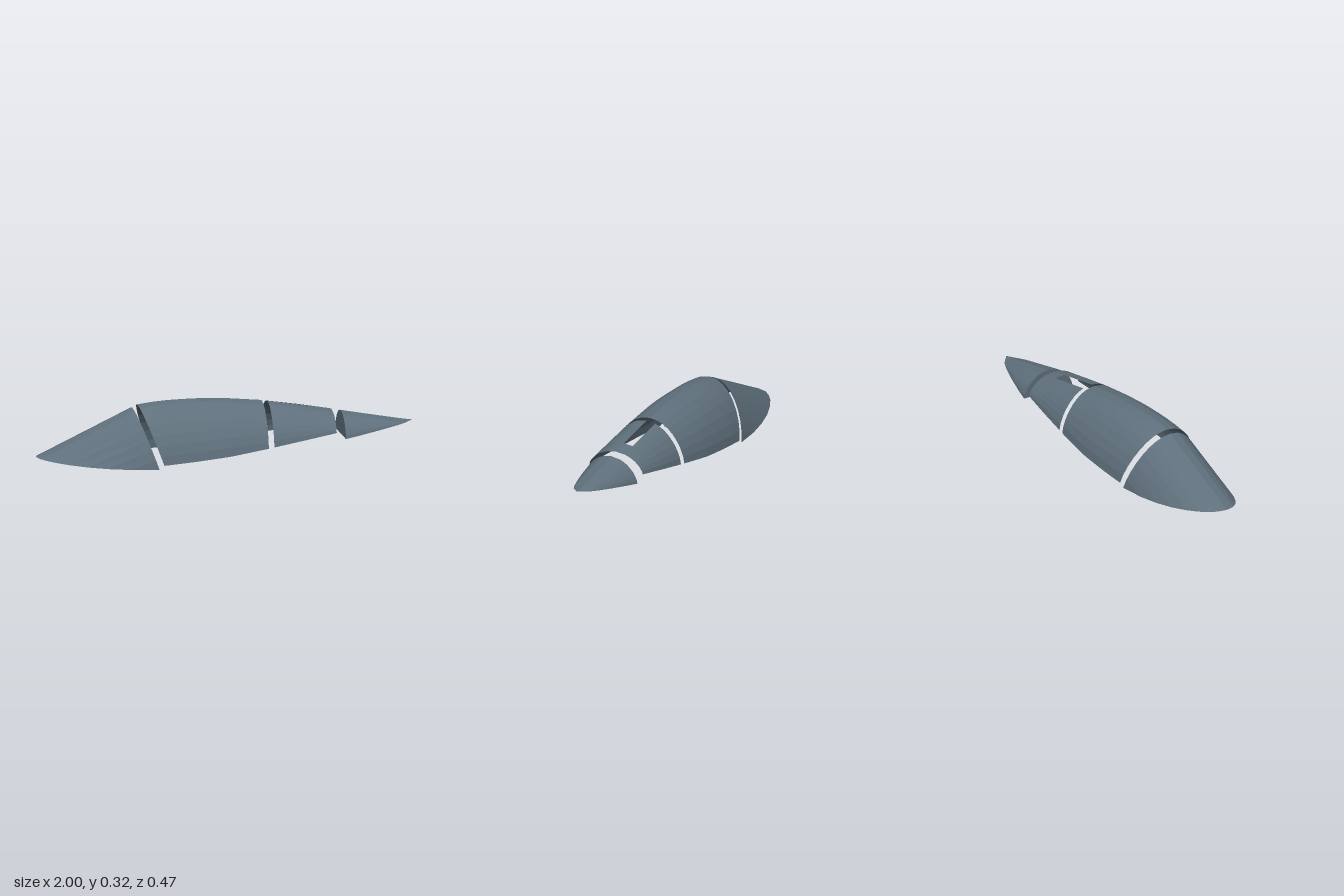
import * as THREE from 'three';

const skin = new THREE.MeshStandardMaterial({ color: 0x5f707c, side: THREE.DoubleSide, flatShading: true });
skin.name = 'slateGrey';

// Linear lookup in a short list of [x, value] pairs
function lookup(table, x) {
  for (let i = 1; i < table.length; i++) {
    const [x0, v0] = table[i - 1], [x1, v1] = table[i];
    if (x <= x1) return v0 + (v1 - v0) * Math.max(0, (x - x0) / (x1 - x0));
  }
  return table[table.length - 1][1];
}

// Column positions across half the width; the first column is a strip of fixed width
const FRACTIONS = [0, 0.19, 0.38, 0.56, 0.74, 0.87, 0.96, 1];
function columns(w) {
  const strip = Math.min(0.05, w);
  const half = FRACTIONS.map(f => strip + (w - strip) * f);
  return [...half.map(z => -z).reverse(), 0, ...half];
}
const CENTRE = FRACTIONS.length;

// Arched cross-section, leaning from xBottom at its feet to xTop at its crown
function arch(xBottom, xTop, w, bottom, top) {
  return columns(w).map(z => {
    const u = w > 0 ? Math.min(1, Math.abs(z) / w) : 0;
    const h = Math.pow(1 - u * u, 0.65);
    return [xBottom + (xTop - xBottom) * h, bottom + (top - bottom) * h, z];
  });
}

// Sheet through successive cross-sections, with optional missing panels
function loft(name, rows, isOpen = () => false) {
  const n = rows[0].length, index = [];
  for (let i = 0; i < rows.length - 1; i++) {
    for (let j = 0; j < n - 1; j++) {
      if (isOpen(i, j)) continue;
      const a = i * n + j, b = a + n;
      index.push(a, a + 1, b + 1, a, b + 1, b);
    }
  }
  const geometry = new THREE.BufferGeometry();
  geometry.setAttribute('position', new THREE.Float32BufferAttribute(rows.flat(2), 3));
  geometry.setIndex(index);
  geometry.computeVertexNormals();
  const mesh = new THREE.Mesh(geometry, skin);
  mesh.name = name;
  return mesh;
}

const TOP = [[-0.46, 0.303], [-0.38, 0.314], [-0.28, 0.322], [-0.15, 0.325], [0, 0.321], [0.2, 0.303],
  [0.4, 0.273], [0.57, 0.243], [0.62, 0.235], [0.8, 0.203], [0.95, 0.177], [1, 0.17]];
const WIDTH = [[-0.36, 0.231], [-0.25, 0.233], [-0.1, 0.231], [0, 0.227], [0.2, 0.206], [0.4, 0.182],
  [0.57, 0.158], [0.62, 0.154], [0.7, 0.134], [0.8, 0.105], [0.9, 0.07], [0.95, 0.047], [1, 0]];
const BOTTOM = [[-0.36, 0.02], [-0.2, 0.034], [0, 0.055], [0.2, 0.085], [0.57, 0.145]];
const TAIL_BOTTOM = [[0.62, 0.11], [1, 0.17]];
const section = (x, xTop = x, feet = BOTTOM) => arch(x, xTop, lookup(WIDTH, x), lookup(feet, x), lookup(TOP, xTop));

export function createModel() {
  const group = new THREE.Group();
  group.name = 'canopy';

  // Windscreen: ruled from a rounded lower rim to the raked frame
  const w = 0.229;
  const frame = arch(-0.385, -0.488, w, 0, 0.29);
  const rim = columns(w).map(z => {
    const c = Math.max(0, 1 - (z / w) ** 2);
    return [-0.385 - 0.615 * Math.sqrt(c), 0.045 * c, z];
  });
  group.add(loft('windscreen', [rim, frame]));

  // Main canopy: raked front edge, upright rear edge
  const main = [];
  for (let i = 0; i <= 8; i++) {
    const s = i / 8;
    main.push(section(-0.36 + 0.56 * s, -0.46 + 0.66 * s));
  }
  group.add(loft('mainCanopy', main));

  // Rear canopy with an open slot beside the centre line
  const rear = [0.23, 0.31, 0.4, 0.48, 0.57].map(x => section(x));
  group.add(loft('rearCanopy', rear, (i, j) => i < 3 && j === CENTRE - 1));

  // Pointed tail fairing with a closed front wall
  const tail = [0.62, 0.7, 0.8, 0.9, 0.95, 1].map(x => section(x, x, TAIL_BOTTOM));
  group.add(loft('tailFairing', tail));
  const sill = tail[0].map(([x, , z]) => [x, 0.11, z]);
  group.add(loft('tailBulkhead', [tail[0], sill]));

  return group;
}
